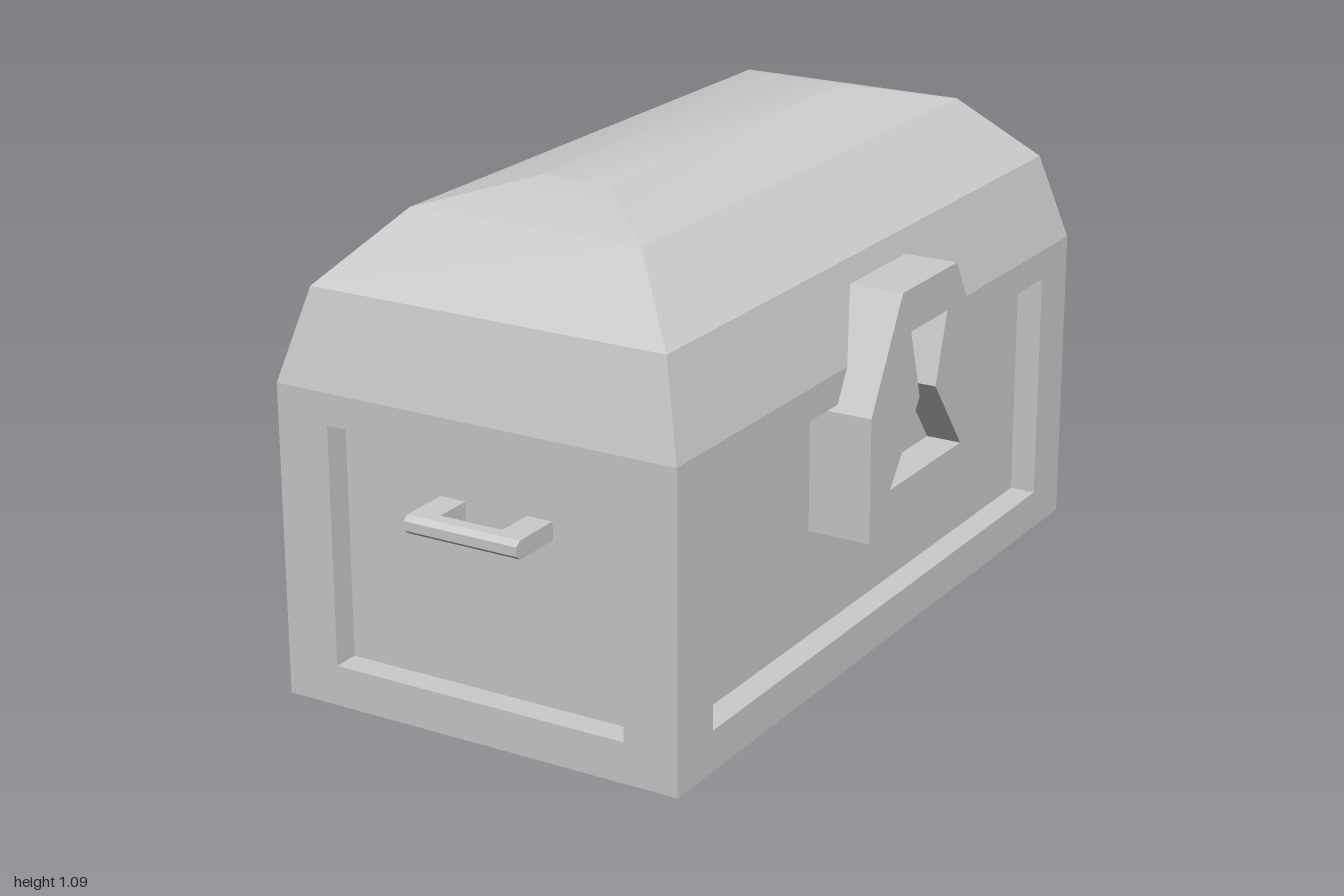
import * as THREE from 'three';
import { toCreasedNormals } from 'three/addons/utils/BufferGeometryUtils.js';

const HW = 0.474, HL = 0.885, WALL = 0.69, DEPTH = 0.06;
const mat = new THREE.MeshStandardMaterial({ color: 0xcccccc });

function add(parent, name, geo, x = 0, y = 0, z = 0) {
  const m = new THREE.Mesh(geo, mat);
  m.name = name;
  m.position.set(x, y, z);
  parent.add(m);
  return m;
}

const poly = (pts) => new THREE.Shape(pts.map(([x, y]) => new THREE.Vector2(x, y)));
// Points of one half, completed by their mirror image in x
const mirrored = (pts) => poly([...pts, ...pts.map(([x, y]) => [-x, y]).reverse()]);
const extrude = (shape, depth) => new THREE.ExtrudeGeometry(shape, { depth, bevelEnabled: false });

// Wall frame around a recessed panel
function wallFrame(half, panelHalf) {
  const s = mirrored([[half, 0], [half, WALL]]);
  s.holes.push(mirrored([[panelHalf, 0.09], [panelHalf, 0.62]]));
  return extrude(s, DEPTH);
}

// Hipped lid lofted through inset rectangles [inset, height]
function lidGeometry() {
  const rings = [[0, WALL], [0.054, 0.89], [0.2, 1.04], [0.394, 1.09]];
  const pos = [], idx = [];
  for (const [inset, y] of rings)
    for (const [sx, sz] of [[1, 1], [1, -1], [-1, -1], [-1, 1]])
      pos.push(sx * (HW - inset), y, sz * (HL - inset));
  for (let r = 0; r < rings.length - 1; r++)
    for (let i = 0; i < 4; i++) {
      const a = r * 4 + i, b = r * 4 + (i + 1) % 4;
      idx.push(a, b, b + 4, a, b + 4, a + 4);
    }
  const t = (rings.length - 1) * 4;
  idx.push(t, t + 1, t + 2, t, t + 2, t + 3);
  const g = new THREE.BufferGeometry();
  g.setAttribute('position', new THREE.Float32BufferAttribute(pos, 3));
  g.setIndex(idx);
  return toCreasedNormals(g, 0.26);
}

// Pull handle: two arms and a chamfered bar, pointing along +z
function handle() {
  const g = new THREE.Group();
  g.name = 'handle';
  const arm = new THREE.BoxGeometry(0.06, 0.04, 0.1);
  for (const s of [-1, 1]) add(g, 'handleArm', arm, s * 0.104, 0, 0.045);
  const section = poly([[0.087, -0.02], [0.115, -0.02], [0.128, -0.01],
    [0.128, 0.01], [0.115, 0.02], [0.087, 0.02]]);
  const bar = extrude(section, 0.268);
  bar.rotateY(-Math.PI / 2).translate(0.134, 0, 0);
  add(g, 'handleBar', bar);
  return g;
}

// Lock plate with an hourglass keyhole sunk into it
function lockPlate() {
  const g = new THREE.Group();
  g.name = 'lockPlate';
  const outline = () => mirrored([[0.255, 0.33], [0.255, 0.605], [0.125, 0.84]]);
  const face = outline();
  face.holes.push(mirrored([[0.165, 0.42], [0.037, 0.588], [0.084, 0.745]]));
  add(g, 'lockBack', extrude(outline(), 0.065), 0, 0, 0.412);
  add(g, 'lockFace', extrude(face, 0.08), 0, 0, 0.477);
  return g;
}

export function createModel() {
  const model = new THREE.Group();
  model.name = 'chest';
  const chest = new THREE.Group();
  chest.name = 'chestBody';
  chest.rotation.y = 0.381;
  model.add(chest);

  // Core forms the recessed panels and the floor
  const cw = HW - DEPTH, cl = HL - DEPTH;
  add(chest, 'core', new THREE.BoxGeometry(cw * 2, WALL, cl * 2), 0, WALL / 2, 0);
  add(chest, 'lid', lidGeometry());

  // Side and end frames, with a handle on each end
  const sideGeo = wallFrame(HL, 0.75), endGeo = wallFrame(cw, 0.35);
  for (const s of [-1, 1]) {
    add(chest, 'sideFrame', sideGeo, s * cw).rotation.y = s * Math.PI / 2;
    const turn = s > 0 ? 0 : Math.PI;
    add(chest, 'endFrame', endGeo, 0, 0, s * cl).rotation.y = turn;
    const h = handle();
    h.position.set(0.018, 0.475, s * cl);
    h.rotation.y = turn;
    chest.add(h);
  }

  const lock = lockPlate();
  lock.rotation.y = Math.PI / 2;
  chest.add(lock);
  return model;
}
